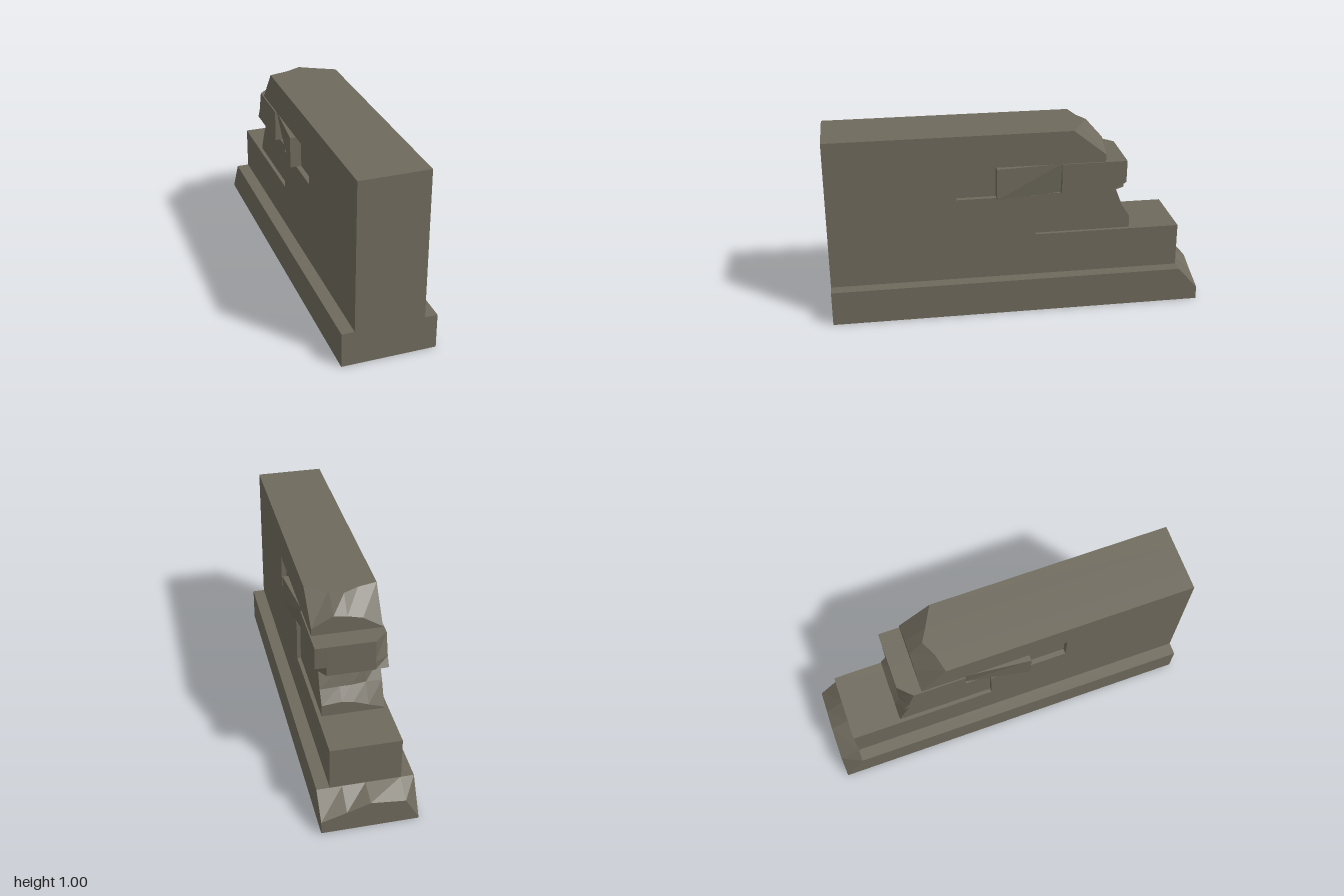
import * as THREE from 'three';

const stoneGrey = new THREE.MeshStandardMaterial({ color: 0x6e695c, flatShading: true });
stoneGrey.name = 'stoneGrey';

function addMesh(group, name, geometry) {
  const mesh = new THREE.Mesh(geometry, stoneGrey);
  mesh.name = name;
  group.add(mesh);
  return mesh;
}

// Plain block, symmetric in x, given its half width and its y and z ranges
function block(halfX, y0, y1, z0, z1) {
  return new THREE.BoxGeometry(halfX * 2, y1 - y0, z1 - z0)
    .translate(0, (y0 + y1) / 2, (z0 + z1) / 2);
}

// Block with a flat front and a broken back end.
// xs: columns from -x to +x; rows from top to bottom: [y, z], each a number or a list per column
function brokenBlock(zFront, xs, rows) {
  const at = (v, c) => (Array.isArray(v) ? v[c] : v);
  const B = rows.map(([y, z]) => xs.map((x, c) => [x, at(y, c), at(z, c)]));
  const F = B.map(row => row.map(([x, y]) => [x, y, zFront]));
  const pos = [];
  const quad = (a, b, c, d) => pos.push(...a, ...b, ...c, ...a, ...c, ...d);
  const C = xs.length - 1, R = rows.length - 1;
  for (let r = 0; r < R; r++) {
    for (let c = 0; c < C; c++) {
      quad(B[r][c], B[r][c + 1], B[r + 1][c + 1], B[r + 1][c]);
      quad(F[r][c], F[r + 1][c], F[r + 1][c + 1], F[r][c + 1]);
    }
    quad(F[r][C], F[r + 1][C], B[r + 1][C], B[r][C]);
    quad(B[r][0], B[r + 1][0], F[r + 1][0], F[r][0]);
  }
  for (let c = 0; c < C; c++) {
    quad(F[0][c], F[0][c + 1], B[0][c + 1], B[0][c]);
    quad(B[R][c], B[R][c + 1], F[R][c + 1], F[R][c]);
  }
  const g = new THREE.BufferGeometry();
  g.setAttribute('position', new THREE.Float32BufferAttribute(pos, 3));
  g.computeVertexNormals();
  return g;
}

export function createModel() {
  const group = new THREE.Group();
  group.name = 'ruinedWall';
  const W = 0.183;

  // Wide footing with a chipped end
  addMesh(group, 'footing', brokenBlock(1, [-0.25, -0.18, 0, 0.12, 0.25], [
    [0.19, -0.89],
    [[0.01, 0.13, 0.15, 0.11, 0.07], -1],
    [0, -1],
  ]));

  // Solid wall courses
  addMesh(group, 'lowerCourse', block(W, 0.19, 0.425, -0.89, 1));
  addMesh(group, 'middleCourse', block(W, 0.425, 0.65, -0.1, 1));
  addMesh(group, 'upperCourse', block(W, 0.65, 0.82, 0.32, 1));

  // Sunken stone in the middle course
  addMesh(group, 'sunkenStone', brokenBlock(-0.1, [-0.163, -0.08, 0, 0.06, 0.163], [
    [0.65, [-0.5, -0.54, -0.54, -0.54, -0.54]],
    [0.56, [-0.56, -0.56, -0.57, -0.57, -0.575]],
    [[0.43, 0.46, 0.49, 0.5, 0.49], -0.62],
    [0.425, -0.62],
  ]));

  // Recess left by a missing brick
  addMesh(group, 'recess', block(0.155, 0.65, 0.82, 0.11, 0.32));

  // Twisted brick, jutting out at its front and sunken at its rear
  const brick = block(1, 0.65, 0.82, -0.24, 0.11);
  const p = brick.attributes.position;
  for (let i = 0; i < p.count; i++) {
    const half = p.getZ(i) > 0 ? 0.215 : p.getY(i) > 0.7 ? 0.18 : 0.15;
    p.setX(i, Math.sign(p.getX(i)) * half);
  }
  brick.computeVertexNormals();
  addMesh(group, 'juttingBrick', brick);

  // Overhanging brick at the broken end
  addMesh(group, 'endBrick', brokenBlock(-0.24, [-0.19, -0.12, 0, 0.13, 0.19], [
    [0.82, [-0.52, -0.59, -0.59, -0.59, -0.59]],
    [0.7, [-0.555, -0.59, -0.59, -0.59, -0.588]],
    [0.65, [-0.585, -0.59, -0.59, -0.59, -0.5]],
  ]));

  // Top course with a crumbled end
  addMesh(group, 'topCourse', brokenBlock(1, [-W, -0.08, 0, 0.07, W], [
    [1, [-0.335, -0.36, -0.4, -0.36, -0.3]],
    [[0.825, 0.89, 0.91, 0.92, 0.86], -0.475],
    [0.82, -0.475],
  ]));

  return group;
}
